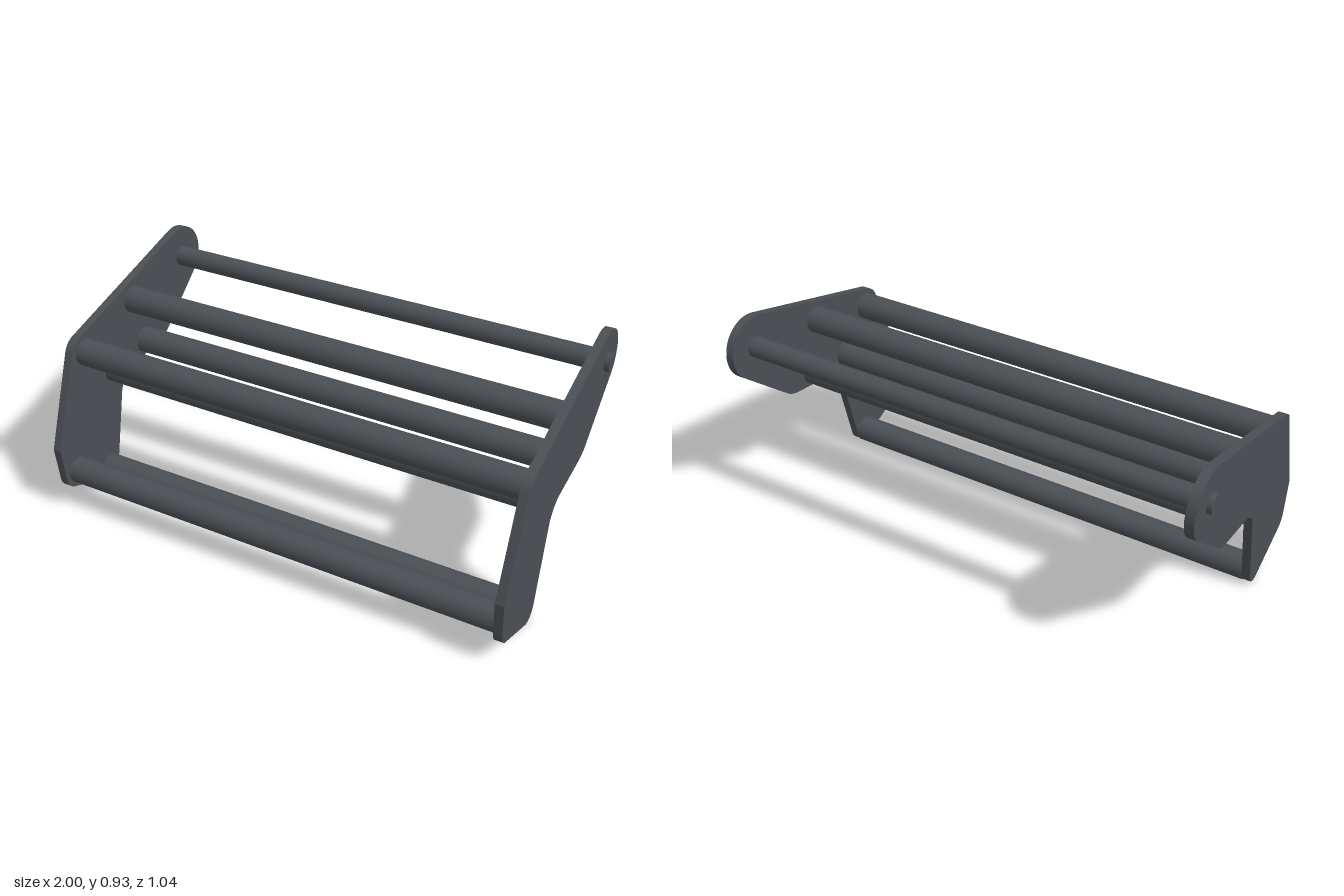
import * as THREE from 'three';
import { toCreasedNormals } from 'three/addons/utils/BufferGeometryUtils.js';

const material = new THREE.MeshStandardMaterial({ color: 0x4a4f54 });

// Side plate outline: corner z, corner y, fillet radius
const corners = [
  [0.367, 0.725, 0.08],
  [0.524, 0.304, 0],
  [0.504, 0.112, 0.066],
  [0.193, -0.02, 0.056],
  [0.089, 0.44, 0.112],
  [-0.223, 0.486, 0.13],
  [-0.926, 1.091, 0.132],
];

// Polygon with each corner replaced by a tangent arc
function roundedOutline(list, steps = 24) {
  const points = [];
  list.forEach(([x, y, r], i) => {
    const p = new THREE.Vector2(x, y);
    if (r === 0) { points.push(p); return; }
    const toward = (k) => {
      const q = list[(k + list.length) % list.length];
      return new THREE.Vector2(q[0], q[1]).sub(p).normalize();
    };
    const a = toward(i - 1), b = toward(i + 1);
    const half = Math.acos(a.dot(b)) / 2;
    const centre = a.clone().add(b).normalize().multiplyScalar(r / Math.sin(half)).add(p);
    const t = r / Math.tan(half);
    const start = a.multiplyScalar(t).add(p).sub(centre);
    const end = b.multiplyScalar(t).add(p).sub(centre);
    const sweep = Math.atan2(start.cross(end), start.dot(end));
    for (let s = 0; s <= steps; s++) {
      points.push(start.clone().rotateAround(new THREE.Vector2(), sweep * s / steps).add(centre));
    }
  });
  return new THREE.Shape(points);
}

// Cylinder lying along x
function rod(name, radius, length, z, y) {
  const geometry = new THREE.CylinderGeometry(radius, radius, length, 48);
  geometry.rotateZ(Math.PI / 2);
  const mesh = new THREE.Mesh(geometry, material);
  mesh.name = name;
  mesh.position.set(0, y, z);
  return mesh;
}

export function createModel() {
  const group = new THREE.Group();
  group.name = 'barFrame';
  const inner = 0.945, thickness = 0.035;

  // Side plates
  const extruded = new THREE.ExtrudeGeometry(roundedOutline(corners), { depth: thickness, bevelEnabled: false });
  extruded.rotateY(-Math.PI / 2);
  const plate = toCreasedNormals(extruded, 0.4);
  for (const [name, x] of [['leftSidePlate', inner + thickness], ['rightSidePlate', -inner]]) {
    const mesh = new THREE.Mesh(plate, material);
    mesh.name = name;
    mesh.position.x = x;
    group.add(mesh);
  }

  // Cross bars between the plates
  const bars = [
    ['frontLowerBar', 0.43, 0.162],
    ['footBar', 0.23, 0.056],
    ['frontUpperBar', 0.305, 0.664],
    ['middleLowerBar', 0.142, 0.505],
    ['middleUpperBar', -0.025, 0.754],
    ['rearLowerBar', -0.083, 0.535],
  ];
  for (const [name, z, y] of bars) group.add(rod(name, 0.056, 2 * inner, z, y));

  // Pivot bar and the pin that passes through both plates
  group.add(rod('pivotBar', 0.042, 2 * inner, -0.39, 0.805));
  group.add(rod('pivotPin', 0.037, 2, -0.39, 0.805));
  return group;
}
